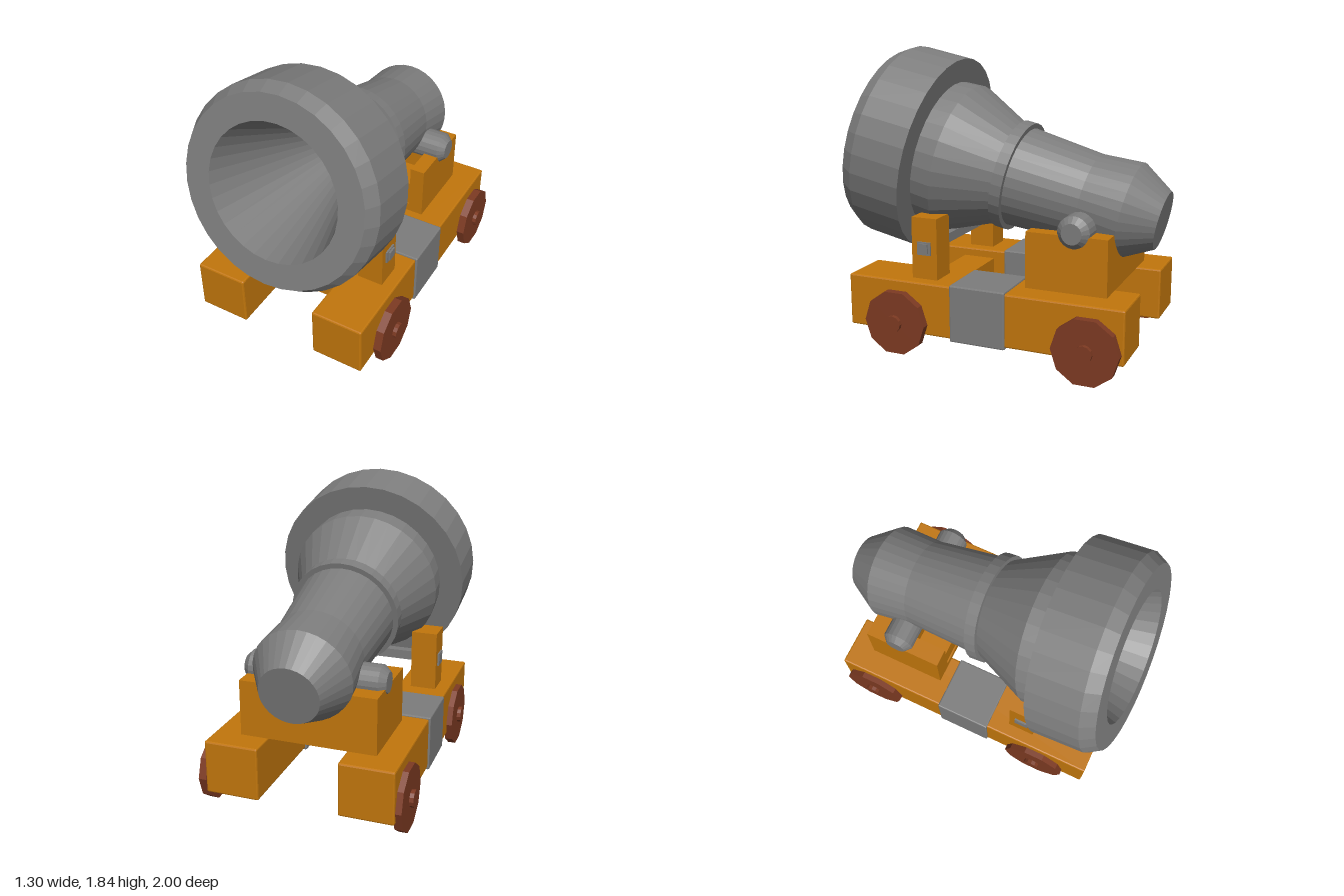
import * as THREE from 'three';
import { RoundedBoxGeometry } from 'three/addons/geometries/RoundedBoxGeometry.js';

export function createModel() {
  const model = new THREE.Group();
  const mat = (color) => new THREE.MeshStandardMaterial({ color, flatShading: true });
  const metal = mat(0x7c7c7c);
  const wood = mat(0xc1760c);
  const rust = mat(0x7d3a22);

  const add = (name, geometry, material, parent = model) => {
    const mesh = new THREE.Mesh(geometry, material);
    mesh.name = name;
    parent.add(mesh);
    return mesh;
  };
  // Box given by its extents on each axis
  const box = (name, x, y, z, material, radius = 0) => {
    const size = [x[1] - x[0], y[1] - y[0], z[1] - z[0]];
    const geometry = radius
      ? new RoundedBoxGeometry(...size, 1, radius)
      : new THREE.BoxGeometry(...size);
    const mesh = add(name, geometry, material);
    mesh.position.set((x[0] + x[1]) / 2, (y[0] + y[1]) / 2, (z[0] + z[1]) / 2);
    return mesh;
  };

  // Barrel: one turned profile from breech to muzzle and back down the bore
  const profile = [
    [0, -1.88], [0.181, -1.88], [0.302, -1.68], [0.281, -1.42], [0.316, -0.958],
    [0.348, -0.958], [0.348, -0.886], [0.322, -0.886], [0.482, -0.544], [0.476, -0.416],
    [0.628, -0.416], [0.628, -0.082], [0.58, 0], [0.42, 0], [0.15, -0.78], [0, -0.78],
  ].map(([r, s]) => new THREE.Vector2(r, s));
  const barrel = add('barrel', new THREE.LatheGeometry(profile, 32), metal);
  barrel.position.set(0, 1.245, 0.875);
  barrel.rotation.x = Math.PI / 2 - 0.216;

  // Trunnion pins with bevelled ends, running through the barrel
  const pin = [[0, -0.44], [0.063, -0.44], [0.1, -0.4], [0.1, 0.4], [0.063, 0.44], [0, 0.44]]
    .map(([r, s]) => new THREE.Vector2(r, s));
  const trunnions = add('trunnions', new THREE.LatheGeometry(pin, 20), metal);
  trunnions.position.set(0, 0.82, -0.535);
  trunnions.rotation.z = Math.PI / 2;

  // Rear cradle: solid behind, notched in front with a low bed under the barrel
  const notch = new THREE.Shape([
    [-0.435, 0.455], [0.405, 0.455], [0.405, 0.8], [0.31, 0.8],
    [0.31, 0.51], [-0.32, 0.51], [-0.32, 0.8], [-0.435, 0.8],
  ].map(([x, y]) => new THREE.Vector2(x, y)));
  const cradle = add('cradleFront',
    new THREE.ExtrudeGeometry(notch, { depth: 0.21, bevelEnabled: false }), wood);
  cradle.position.z = -0.45;
  box('cradleBed', [-0.32, 0.31], [0.51, 0.67], [-0.45, -0.25], wood);
  box('cradleBack', [-0.435, 0.405], [0.455, 0.8], [-0.745, -0.45], wood);

  // Cross beam and the iron bar between the front posts
  box('crossBeam', [-0.27, 0.25], [0.18, 0.4], [0.26, 0.48], wood);
  box('supportBar', [-0.52, 0.51], [0.622, 0.682], [0.36, 0.42], metal);

  for (const side of [-1, 1]) {
    // The timber frame sits slightly off the barrel's centre line
    const span = (a, b) => [side * a - 0.01, side * b - 0.01].sort((p, q) => p - q);
    box('sideBeam', span(0.245, 0.578), [0.125, 0.455], [-0.9, 0.88], wood, 0.01);
    box('ironBand', span(0.235, 0.59), [0.112, 0.467], [-0.177, 0.18], metal, 0.008);
    box('frontPost', span(0.33, 0.497), [0.44, 0.84], [0.305, 0.475], wood);
    box('barWasher', span(0.49, 0.508), [0.608, 0.69], [0.345, 0.435], metal);

    // Ten-sided wheels with hubs
    for (const z of [0.535, -0.685]) {
      const wheel = new THREE.Group();
      wheel.name = 'wheel';
      wheel.position.set(side * 0.6, 0.195, z);
      wheel.rotation.z = -side * Math.PI / 2;
      model.add(wheel);
      const disc = new THREE.CylinderGeometry(0.204, 0.204, 0.05, 10);
      add('wheelDisc', disc, rust, wheel);
      const hub = add('wheelHub', new THREE.CylinderGeometry(0.052, 0.052, 0.09, 12), rust, wheel);
      hub.position.y = 0.005;
    }
  }
  return model;
}
